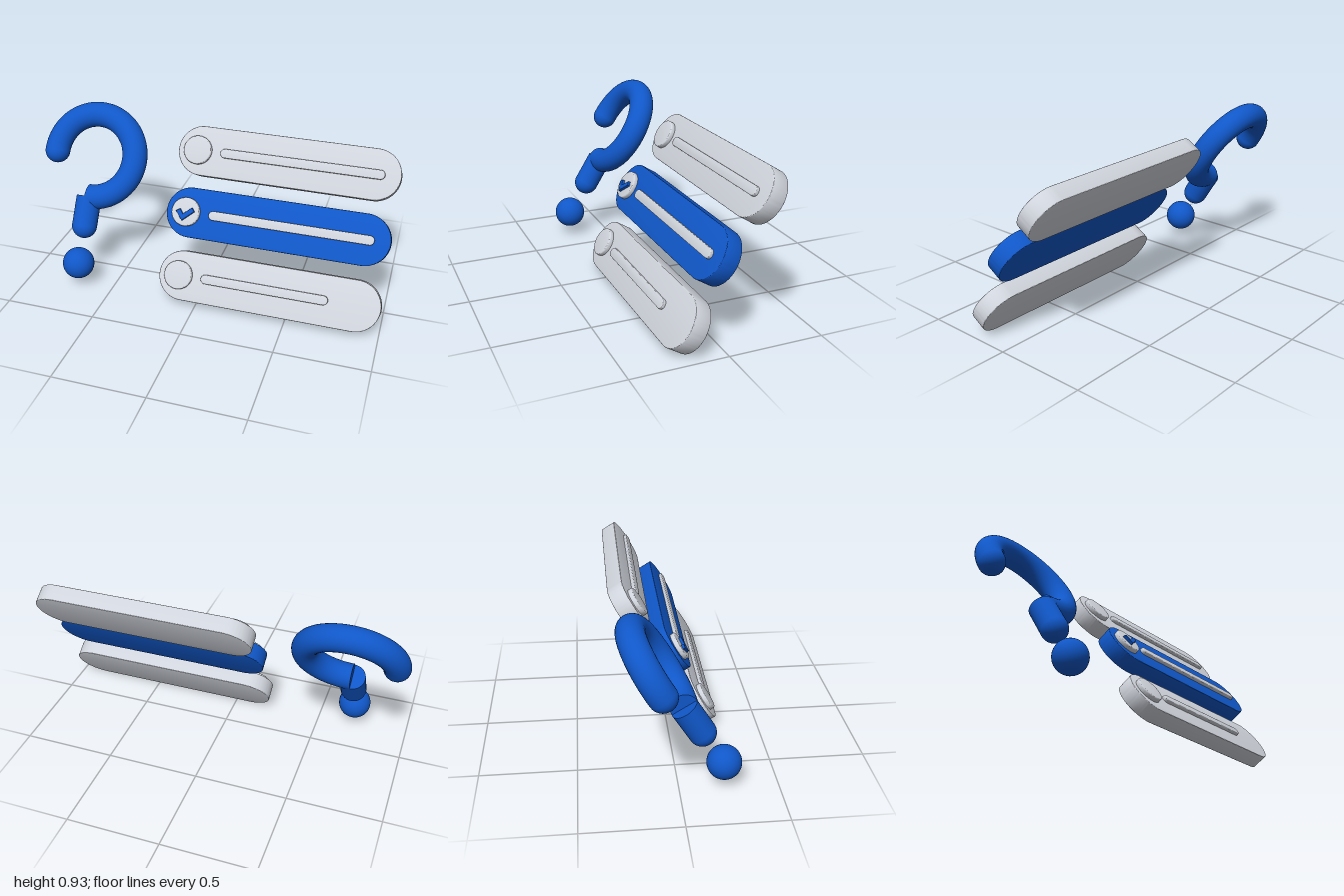
import * as THREE from 'three';
import { toCreasedNormals } from 'three/addons/utils/BufferGeometryUtils.js';

const blue = new THREE.MeshStandardMaterial({ color: 0x1057c8 });
blue.name = 'blue';
const grey = new THREE.MeshStandardMaterial({ color: 0xd0d4dc });
grey.name = 'lightGrey';

function addMesh(parent, name, geometry, material, x = 0, y = 0, z = 0) {
  const mesh = new THREE.Mesh(geometry, material);
  mesh.name = name;
  mesh.position.set(x, y, z);
  parent.add(mesh);
  return mesh;
}

// Extrudes a shape from z = 0 to z = depth, with a small bevel on the edges
function extrude(shape, depth, bevel) {
  const geometry = new THREE.ExtrudeGeometry(shape, {
    depth: depth - 2 * bevel, curveSegments: 28, bevelEnabled: bevel > 0,
    bevelSize: bevel, bevelThickness: bevel, bevelOffset: -bevel, bevelSegments: 3,
  });
  geometry.translate(0, 0, bevel);
  return toCreasedNormals(geometry, 0.6);
}

// Bar with half-round ends, running from x0 to x1
function pill(x0, x1, radius, depth, bevel) {
  const shape = new THREE.Shape();
  shape.absarc(x1 - radius, 0, radius, -Math.PI / 2, Math.PI / 2, false);
  shape.absarc(x0 + radius, 0, radius, Math.PI / 2, Math.PI * 1.5, false);
  shape.closePath();
  return extrude(shape, depth, bevel);
}

// One answer row: slab, round bullet and text line
function makeOption(name, material, y, z, lineEnd) {
  const option = new THREE.Group();
  option.name = name;
  option.position.set(0, y, z);
  addMesh(option, 'slab', pill(-0.215, 0.995, 0.136, 0.09, 0.003), material, 0, 0, -0.045);
  addMesh(option, 'bullet', pill(-0.181, -0.025, 0.078, 0.03, 0.006), grey, 0, 0, 0.04);
  addMesh(option, 'textLine', pill(0.025, lineEnd, 0.025, 0.023, 0.005), grey, 0, 0, 0.04);
  return option;
}

export function createModel() {
  const model = new THREE.Group();
  model.name = 'quizSign';

  // Everything leans back together
  const tilted = new THREE.Group();
  tilted.name = 'tiltedSign';
  tilted.rotation.x = -0.558;
  model.add(tilted);

  // Answer rows, the chosen one standing forward
  tilted.add(makeOption('topOption', grey, 0.7225, 0.215, 0.912));
  const chosen = makeOption('chosenOption', blue, 0.378, 0.26, 0.912);
  tilted.add(chosen);
  tilted.add(makeOption('bottomOption', grey, 0.031, 0.215, 0.72));

  // Tick on the chosen bullet
  const tick = new THREE.Shape([
    [-0.152, -0.001], [-0.113, -0.05], [-0.05, 0.006],
    [-0.065, 0.026], [-0.111, -0.013], [-0.131, 0.013],
  ].map(([x, y]) => new THREE.Vector2(x, y)));
  addMesh(chosen, 'tick', extrude(tick, 0.025, 0.002), blue, 0, 0, 0.06);

  // Question mark: three-quarter ring, straight stem and dot
  const mark = new THREE.Group();
  mark.name = 'questionMark';
  mark.position.set(-0.695, 0.614, 0.265);
  tilted.add(mark);
  const ring = 0.235, tube = 0.07, stem = 0.167;
  const hook = addMesh(mark, 'hook', new THREE.TorusGeometry(ring, tube, 32, 72, Math.PI * 1.5), blue);
  hook.rotation.z = -Math.PI / 2;
  const hookEnd = addMesh(mark, 'hookEnd', new THREE.CircleGeometry(tube, 32), blue, 0, -ring, 0);
  hookEnd.rotation.y = -Math.PI / 2;
  addMesh(mark, 'hookTip', new THREE.SphereGeometry(tube, 32, 24), blue, -ring, 0, 0);
  addMesh(mark, 'stem', new THREE.CylinderGeometry(tube, tube, stem, 32), blue, 0, -ring - stem / 2, 0);
  addMesh(mark, 'stemTip', new THREE.SphereGeometry(tube, 32, 24), blue, 0, -ring - stem, 0);
  addMesh(mark, 'dot', new THREE.SphereGeometry(0.088, 36, 24), blue, 0, -0.614, 0);

  return model;
}
